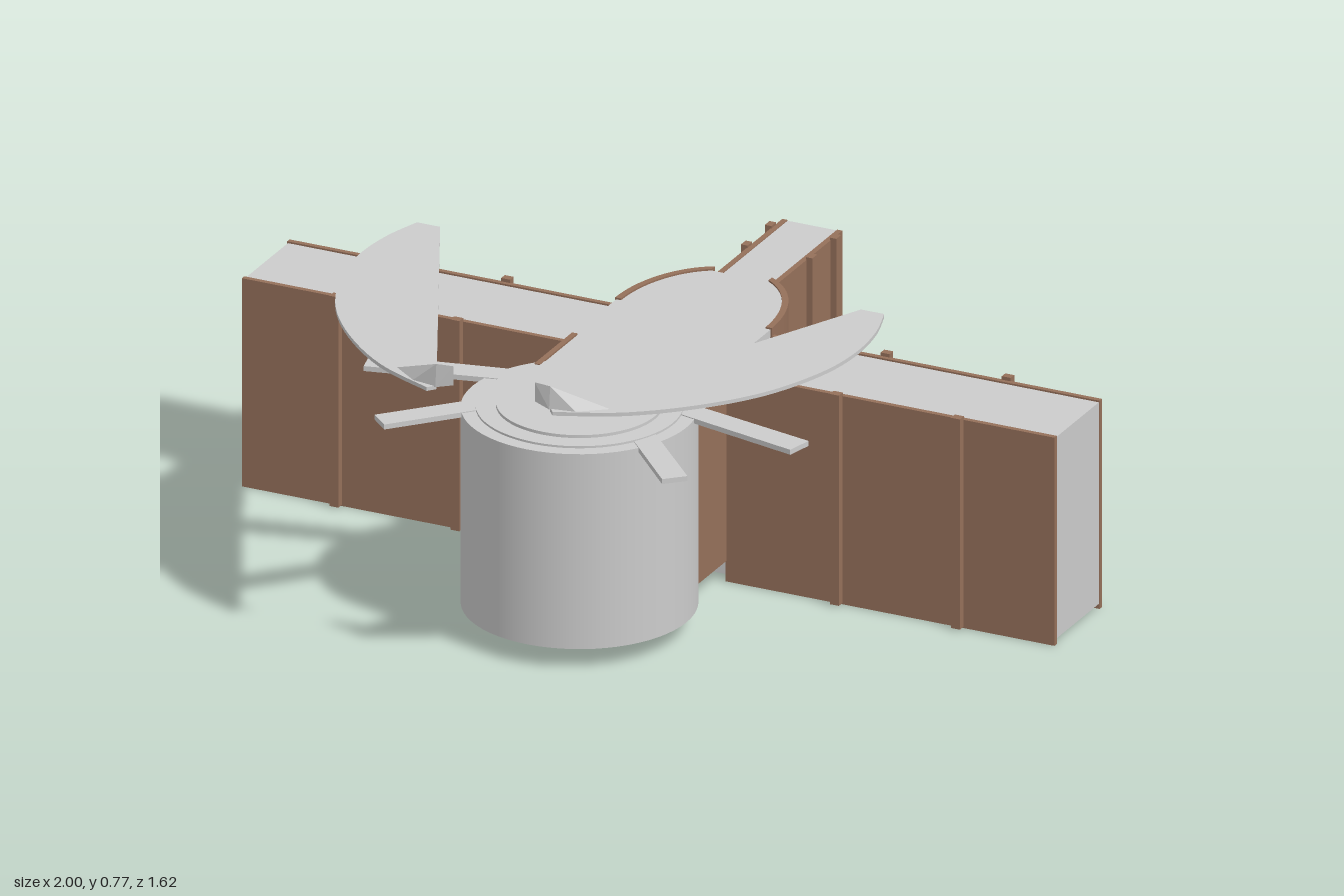
import * as THREE from 'three';
import { toCreasedNormals } from 'three/addons/utils/BufferGeometryUtils.js';
import { ConvexGeometry } from 'three/addons/geometries/ConvexGeometry.js';

const grey = new THREE.MeshStandardMaterial({ color: 0xcccccc });
const brown = new THREE.MeshStandardMaterial({ color: 0x95705a });

export function createModel() {
  const model = new THREE.Group();

  const add = (name, geometry, material) => {
    const mesh = new THREE.Mesh(geometry, material);
    mesh.name = name;
    model.add(mesh);
    return mesh;
  };
  // Box given by its minimum and maximum on each axis
  const block = (name, material, x0, x1, y0, y1, z0, z1) => {
    const geometry = new THREE.BoxGeometry(x1 - x0, y1 - y0, z1 - z0);
    geometry.translate((x0 + x1) / 2, (y0 + y1) / 2, (z0 + z1) / 2);
    return add(name, geometry, material);
  };
  // Flat plate from an outline of [x, z] points, between two heights
  const plate = (name, material, outline, y0, y1) => {
    const shape = new THREE.Shape(outline.map(([x, z]) => new THREE.Vector2(x, -z)));
    const geometry = new THREE.ExtrudeGeometry(shape, { depth: y1 - y0, bevelEnabled: false });
    geometry.rotateX(-Math.PI / 2).translate(0, y0, 0);
    return add(name, toCreasedNormals(geometry, 0.5), material);
  };
  const disc = (name, radius, y0, y1) => {
    const geometry = new THREE.CylinderGeometry(radius, radius, y1 - y0, 64);
    geometry.translate(0, (y0 + y1) / 2, 0.357);
    return add(name, geometry, grey);
  };
  const flip = (points, s) => points.map(([x, z]) => [s * x, z]);

  // Long transverse hall
  block('hall', grey, -0.998, 0.998, 0.012, 0.498, -0.215, 0);

  // Round tower with stepped top
  disc('tower', 0.263, 0.05, 0.52);
  disc('towerRing', 0.23, 0.52, 0.525);
  disc('towerCap', 0.185, 0.525, 0.532);

  // Curved rear end of the body: outer and inner lines of the wall
  const arc = (rx, rz, endX) => {
    const points = [];
    const end = Math.acos(endX / rx);
    for (let i = 0; i <= 16; i++) {
      const a = (end * i) / 16;
      points.push([rx * Math.cos(a), -0.215 - rz * Math.sin(a)]);
    }
    return points;
  };
  const outer = arc(0.193, 0.27, 0.07);
  const inner = arc(0.178, 0.256, 0.07);

  // Lid over the body, running from the tower to the tail
  const side = [[0.18, 0.2], [0.18, 0], [0.19, 0], [0.19, -0.215], ...inner];
  plate('bodyLid', grey, [...side, ...flip(side, -1).reverse()], 0.5, 0.518);

  // Tail roof
  block('tailRoof', grey, -0.063, 0.063, 0.475, 0.498, -0.812, -0.44);

  // Blade seen from above, straight on its inner edge
  const bladeCurve = new THREE.SplineCurve([
    [0.575, 0], [0.603, 0.1], [0.612, 0.22], [0.592, 0.35], [0.53, 0.5],
    [0.43, 0.63], [0.3, 0.74], [0.155, 0.808],
  ].map(([x, z]) => new THREE.Vector2(x, z)));
  const blade = [[0.14, 0.79], [0.518, 0], ...bladeCurve.getPoints(40).map((p) => [p.x, p.y])];

  // Upright wedge on the blade tip
  const fin = [
    [0.1, 0.766, 0.785], [0.14, 0.766, 0.79], [0.1, 0.72, 0.785],
    [0.262, 0.714, 0.738], [0.2, 0.714, 0.785], [0.14, 0.712, 0.795],
  ];

  for (const s of [1, -1]) {
    const word = s > 0 ? 'left' : 'right';
    const mirrored = (name, material, x0, x1, ...rest) =>
      block(word + name, material, Math.min(s * x0, s * x1), Math.max(s * x0, s * x1), ...rest);

    // Hall cladding and battens, front and back
    mirrored('FrontPanel', brown, 0.19, 1, 0, 0.502, 0, 0.012);
    mirrored('BackPanel', brown, 0.19, 1, 0, 0.502, -0.227, -0.215);
    for (const x of [0.467, 0.765]) {
      mirrored('FrontBatten', brown, x - 0.011, x + 0.011, 0.003, 0.51, 0.01, 0.03);
      mirrored('BackBatten', brown, x - 0.011, x + 0.011, 0.003, 0.51, -0.243, -0.225);
    }

    // Body walls: straight in front, curved behind
    mirrored('NeckWall', brown, 0.18, 0.193, 0.05, 0.522, 0, 0.19);
    plate(word + 'CurvedWall', brown, flip([...outer, ...inner.slice().reverse()], s), 0.045, 0.522);

    // Tail walls and battens
    mirrored('TailWall', brown, 0.061, 0.074, 0.158, 0.5, -0.812, -0.455);
    for (const z of [-0.645, -0.765]) {
      mirrored('TailBatten', brown, 0.072, 0.088, 0.18, 0.506, z - 0.012, z + 0.012);
    }

    // Arms reaching out from the tower top
    plate(word + 'SideArm', grey,
      flip([[0.2, 0.235], [0.54, 0.308], [0.525, 0.37], [0.2, 0.295]], s), 0.51, 0.522);
    plate(word + 'FrontArm', grey,
      flip([[0.18, 0.38], [0.385, 0.6], [0.342, 0.64], [0.14, 0.42]], s), 0.51, 0.522);

    // Floating blades with tip wedges
    plate(word + 'Blade', grey, flip(blade, s), 0.705, 0.714);
    add(word + 'BladeFin',
      new ConvexGeometry(fin.map(([x, y, z]) => new THREE.Vector3(s * x, y, z))), grey);
  }

  return model;
}
